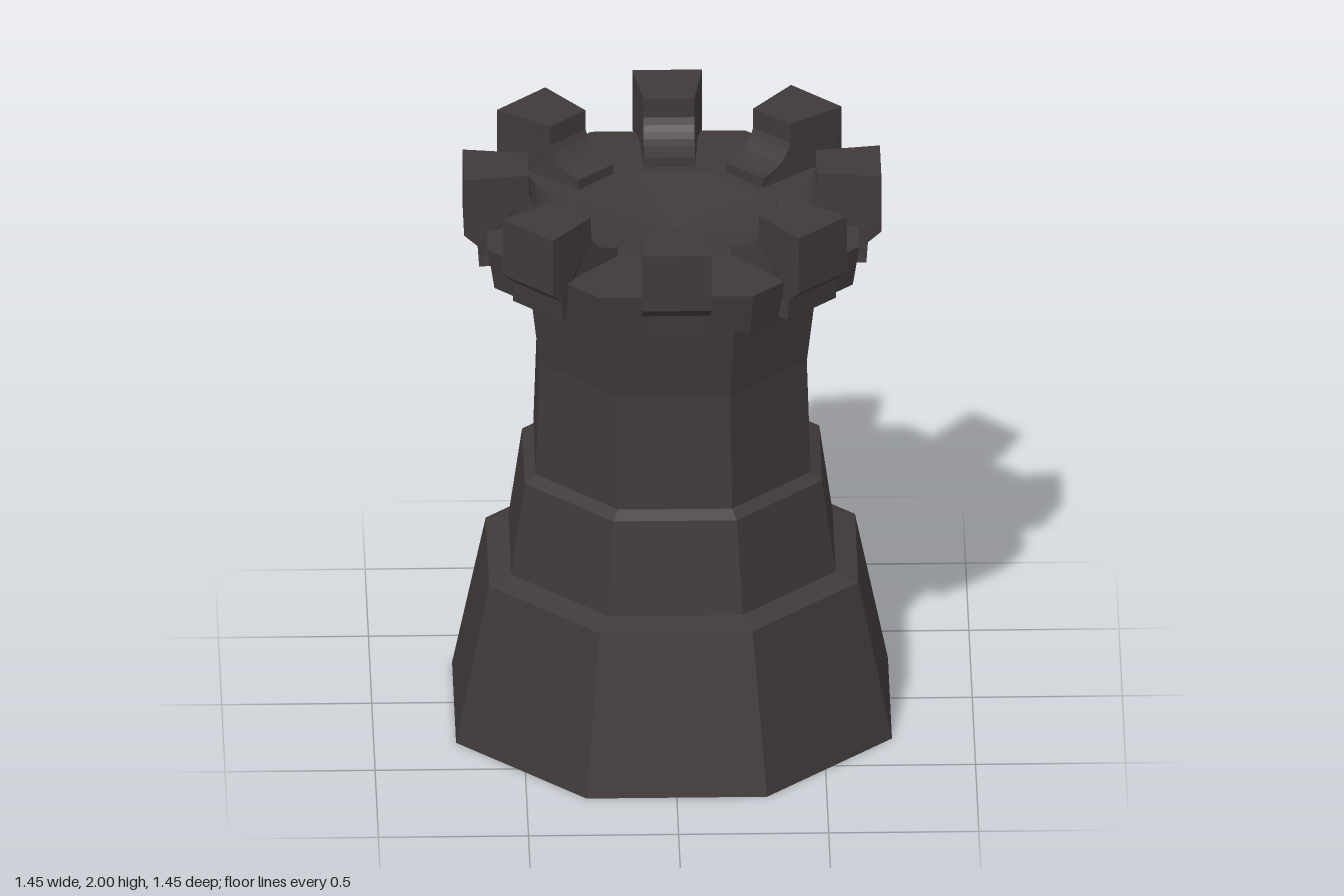
import * as THREE from 'three';

const SIDES = 8;
const stone = new THREE.MeshStandardMaterial({ color: 0x403939, flatShading: true, side: THREE.DoubleSide });
stone.name = 'dark stone';

// Octagonal shell with flats facing the axes; profile is [flat distance, height]
function octagonShell(name, profile) {
  const points = profile.map(([a, y]) => new THREE.Vector2(a / Math.cos(Math.PI / SIDES), y));
  const mesh = new THREE.Mesh(new THREE.LatheGeometry(points, SIDES, Math.PI / SIDES), stone);
  mesh.name = name;
  return mesh;
}

// Merlon: side profile in (radius, height), widened towards the outside
function merlonGeometry() {
  const s = new THREE.Shape();
  s.moveTo(0.35, 1.8);
  s.lineTo(0.58, 1.8);
  s.lineTo(0.58, 1.68);
  s.lineTo(0.645, 1.68);
  s.lineTo(0.65, 1.755);
  s.lineTo(0.695, 1.795);
  s.lineTo(0.695, 2);
  s.lineTo(0.48, 2);
  s.lineTo(0.48, 1.93);
  s.quadraticCurveTo(0.455, 1.855, 0.35, 1.845);
  const geo = new THREE.ExtrudeGeometry(s, { depth: 1, bevelEnabled: false, curveSegments: 6 });
  const p = geo.attributes.position;
  for (let i = 0; i < p.count; i++) {
    const r = p.getX(i);
    const taper = THREE.MathUtils.clamp((r - 0.48) / 0.215, 0, 1);
    const half = p.getY(i) < 1.78 ? 0.115 : 0.085 + 0.031 * taper;
    p.setZ(i, (p.getZ(i) - 0.5) * 2 * half);
  }
  geo.computeVertexNormals();
  return geo;
}

export function createModel() {
  const tower = new THREE.Group();
  tower.name = 'tower';

  // Stepped hollow body, open underneath
  tower.add(octagonShell('base', [[0.726, 0], [0.615, 0.56], [0.54, 0.585]]));
  tower.add(octagonShell('middleTier', [[0.54, 0.585], [0.495, 0.915], [0.458, 0.94]]));
  tower.add(octagonShell('shaft', [[0.458, 0.94], [0.445, 1.35], [0.477, 1.63]]));

  // Flared crown with its deck and sunken floor
  tower.add(octagonShell('crown', [[0.477, 1.63], [0.597, 1.665], [0.619, 1.81]]));
  tower.add(octagonShell('deck', [[0.619, 1.81], [0.315, 1.81]]));
  tower.add(octagonShell('sunkenFloor', [[0.315, 1.81], [0, 1.75]]));

  // Ring of battlements
  const battlements = new THREE.Group();
  battlements.name = 'battlements';
  const geo = merlonGeometry();
  for (let i = 0; i < SIDES; i++) {
    const merlon = new THREE.Mesh(geo, stone);
    merlon.name = 'merlon';
    merlon.rotation.y = (i / SIDES) * Math.PI * 2;
    battlements.add(merlon);
  }
  tower.add(battlements);
  return tower;
}
